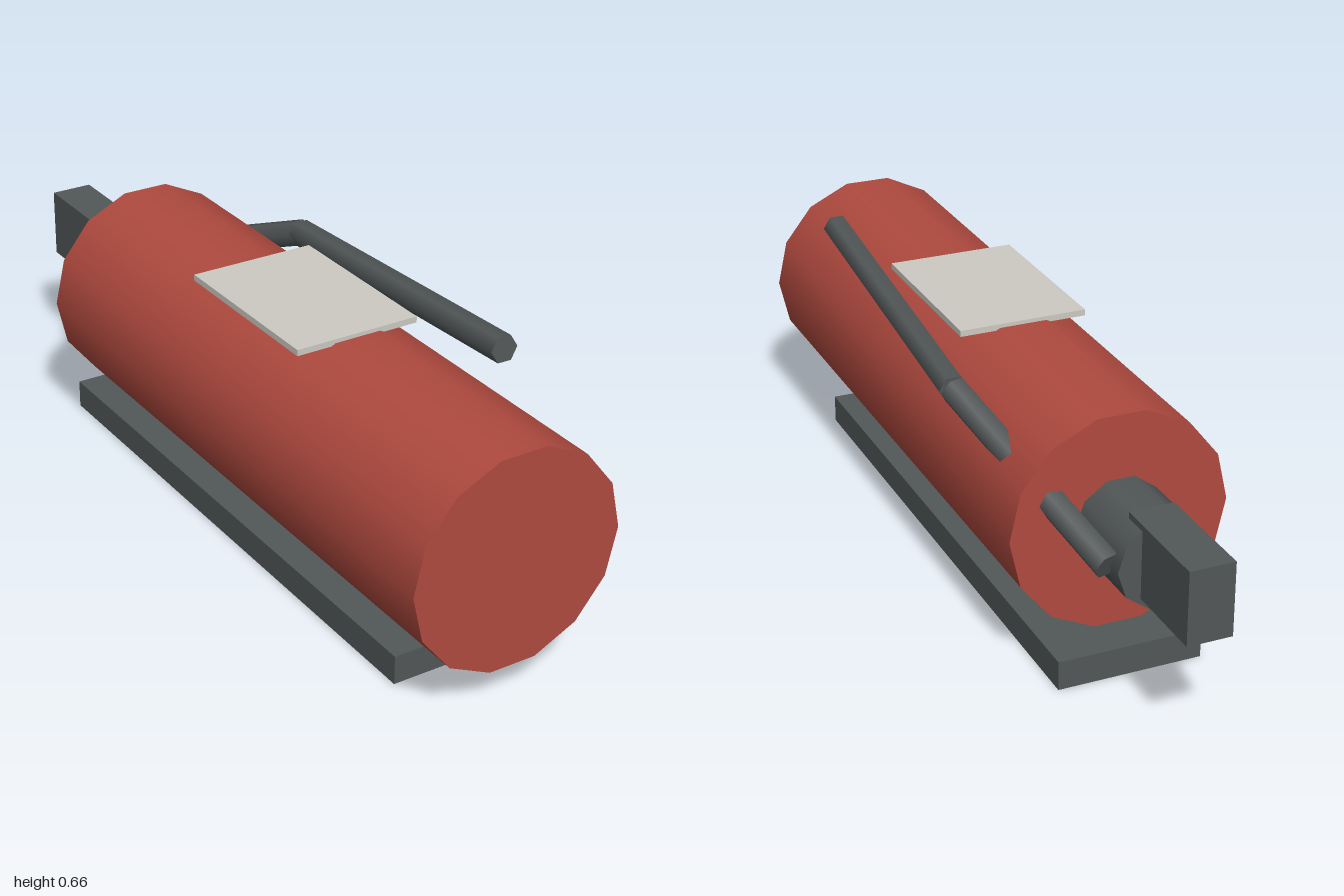
import * as THREE from 'three';

export function createModel() {
  const model = new THREE.Group();
  model.name = 'fireExtinguisher';

  const mat = (name, color) => {
    const m = new THREE.MeshStandardMaterial({ color });
    m.name = name;
    return m;
  };
  const red = mat('tank red', 0xb04a3f);
  const grey = mat('dark grey', 0x525757);
  const pale = mat('label grey', 0xcccac2);

  const add = (name, geometry, material) => {
    const mesh = new THREE.Mesh(geometry, material);
    mesh.name = name;
    model.add(mesh);
    return mesh;
  };

  // Box given by its extents on each axis
  const box = (name, [x0, x1], [y0, y1], [z0, z1], material) =>
    add(name, new THREE.BoxGeometry(x1 - x0, y1 - y0, z1 - z0), material)
      .position.set((x0 + x1) / 2, (y0 + y1) / 2, (z0 + z1) / 2);

  // Capped prism between two points, with a corner on its +x side
  const rod = (name, from, to, radius, sides, material) => {
    const a = new THREE.Vector3(...from);
    const b = new THREE.Vector3(...to);
    const dir = b.clone().sub(a);
    const geometry = new THREE.CylinderGeometry(
      radius, radius, dir.length(), sides, 1, false, Math.PI / 2);
    geometry.rotateX(Math.PI / 2);
    const mesh = add(name, geometry, material);
    mesh.position.copy(a).add(b).multiplyScalar(0.5);
    mesh.quaternion.setFromUnitVectors(new THREE.Vector3(0, 0, 1), dir.normalize());
  };

  // Tank lying along z, with its neck and valve handle at the back
  rod('tank', [-0.01, 0.352, -0.58], [-0.01, 0.352, 1], 0.263, 14, red);
  rod('neck', [-0.01, 0.353, -0.79], [-0.01, 0.353, -0.56], 0.107, 10, grey);
  box('valveHandle', [-0.065, 0.042], [0.28, 0.456], [-1, -0.725], grey);

  // Hose: short run out of the valve, then a long run along the tank
  const bend = [0.237, 0.563, -0.23];
  rod('hoseRear', [0.103, 0.355, -0.755], bend, 0.034, 6, grey);
  rod('hoseFront', bend, [0.201, 0.632, 0.648], 0.034, 6, grey);

  // Label plate on top and mounting plate below
  box('label', [-0.168, 0.148], [0.603, 0.618], [-0.055, 0.395], pale);
  box('mountingPlate', [-0.185, 0.166], [0, 0.071], [-0.65, 0.82], grey);

  return model;
}
